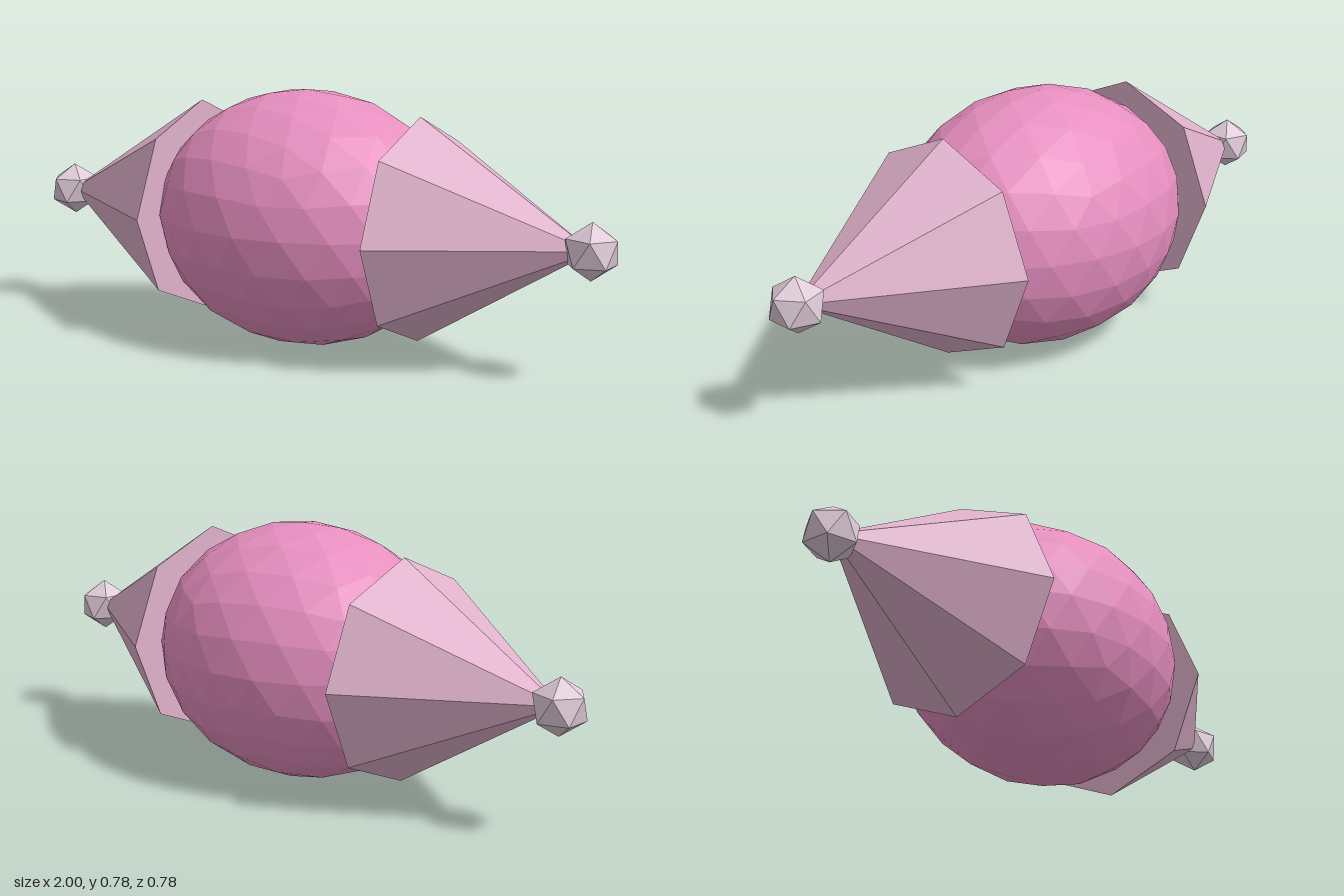
import * as THREE from 'three';

const CENTRE_Y = 0.39;

const paint = (color) => new THREE.MeshStandardMaterial({ color, flatShading: true });

// Icosphere standing on one vertex, with an upper-ring vertex towards +x
function icosphere(radius, detail) {
  const geometry = new THREE.IcosahedronGeometry(radius, detail);
  geometry.rotateZ(Math.atan(2 / (1 + Math.sqrt(5))));
  return geometry.rotateY(Math.PI);
}

export function createModel() {
  const model = new THREE.Group();
  model.name = 'wrappedSweet';

  // Faceted body, stretched sideways
  const body = new THREE.Mesh(icosphere(0.388, 3), paint(0xe78fc0));
  body.name = 'body';
  body.scale.x = 1.23;
  body.position.y = CENTRE_Y;
  model.add(body);

  // Eight-sided cone with a small ball on its tip, one on each side
  const conePaint = paint(0xe0b2cc);
  const ballPaint = paint(0xdfcbd8);
  const coneGeometry = new THREE.ConeGeometry(0.332, 0.54, 8).rotateZ(-Math.PI / 2);
  const ballGeometry = icosphere(0.083, 0);

  for (const side of ['left', 'right']) {
    const end = new THREE.Group();
    end.name = side + 'End';
    end.position.y = CENTRE_Y;
    end.rotation.y = side === 'left' ? 0 : Math.PI;

    const cone = new THREE.Mesh(coneGeometry, conePaint);
    cone.name = side + 'Cone';
    cone.position.x = 0.66;

    const ball = new THREE.Mesh(ballGeometry, ballPaint);
    ball.name = side + 'TipBall';
    ball.position.x = 0.926;

    end.add(cone, ball);
    model.add(end);
  }
  return model;
}
